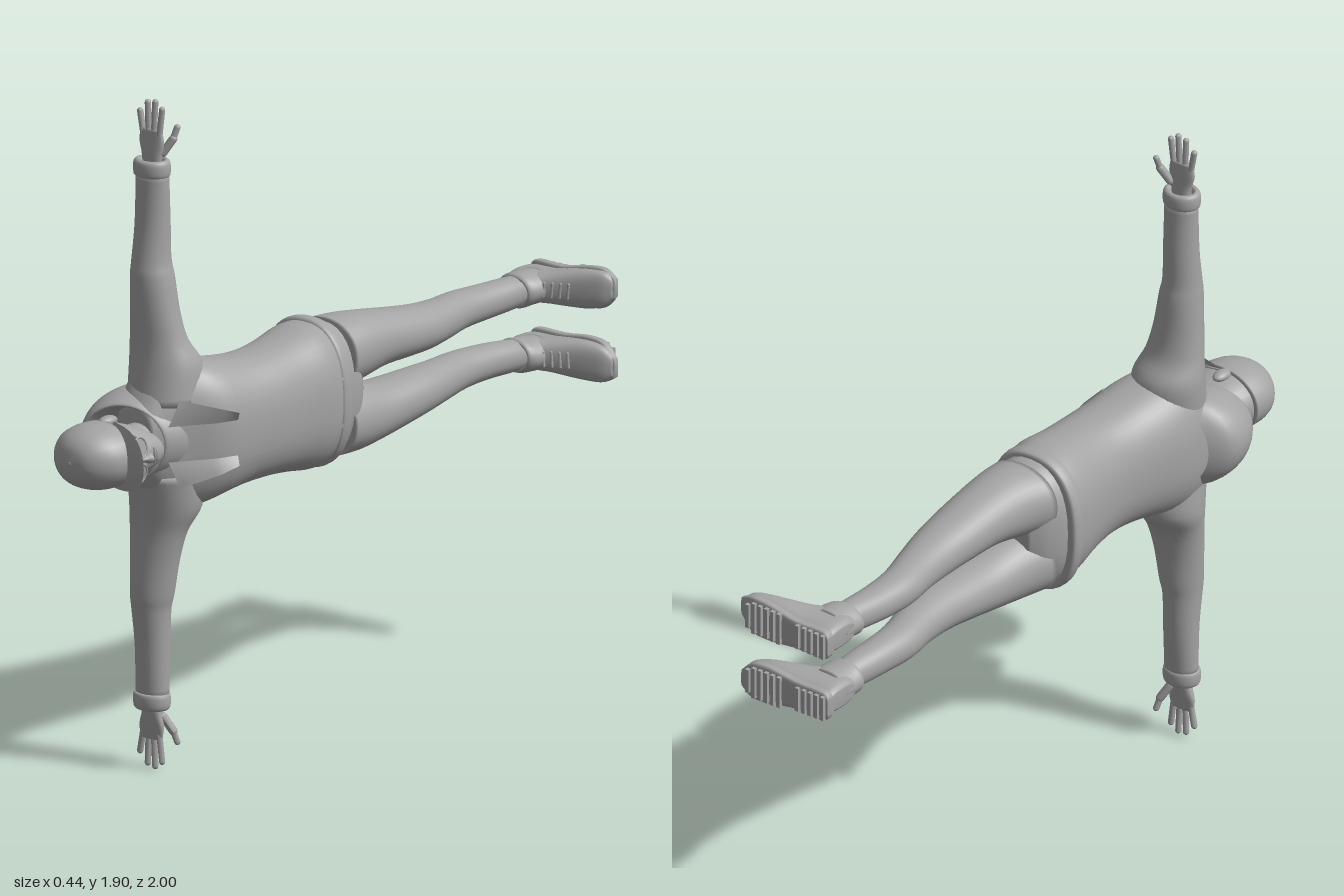
import * as THREE from 'three';

const cloth = new THREE.MeshStandardMaterial({ color: 0xa4a4a4, side: THREE.DoubleSide });
cloth.name = 'plain grey';

// Smooth skin over cross-sections [t, aMin, aMax, bMin, bMax, slope]; t runs along the axis,
// (a, b) are the next two axes in x-y-z order and slope tilts the ring along a.
function loft(axis, sections, { n = 2, sides = 32, caps = true, steps = 4 } = {}) {
  const rows = [];
  const at = (i, k) => sections[Math.min(Math.max(i, 0), sections.length - 1)][k] ?? 0;
  for (let i = 0; i < sections.length - 1; i++) {
    for (let s = 0; s < steps || (i === sections.length - 2 && s === steps); s++) {
      const u = s / steps;
      rows.push([0, 1, 2, 3, 4, 5].map((k) => {
        const [p, q, r, w] = [at(i - 1, k), at(i, k), at(i + 1, k), at(i + 2, k)];
        return q + 0.5 * u * (r - p + u * (2 * p - 5 * q + 4 * r - w + u * (3 * (q - r) + w - p)));
      }));
    }
  }
  const pos = [], index = [];
  const put = (t, a, b) => pos.push(...(axis === 'x' ? [t, a, b] : axis === 'y' ? [b, t, a] : [a, b, t]));
  const round = (v) => Math.sign(v) * Math.abs(v) ** (2 / n);
  for (const [t, a0, a1, b0, b1, slope] of rows) {
    for (let i = 0; i < sides; i++) {
      const th = (i / sides) * Math.PI * 2;
      const a = (a0 + a1) / 2 + ((a1 - a0) / 2) * round(Math.cos(th));
      put(t + slope * a, a, (b0 + b1) / 2 + ((b1 - b0) / 2) * round(Math.sin(th)));
    }
  }
  for (let j = 0; j < rows.length - 1; j++) {
    for (let i = 0; i < sides; i++) {
      const a = j * sides + i, b = j * sides + ((i + 1) % sides);
      index.push(a, b, b + sides, a, b + sides, a + sides);
    }
  }
  if (caps) {
    const c = rows.length * sides, last = c - sides;
    for (const r of [rows[0], rows.at(-1)]) put(r[0] + r[5] * (r[1] + r[2]) / 2, (r[1] + r[2]) / 2, (r[3] + r[4]) / 2);
    for (let i = 0; i < sides; i++) {
      const k = (i + 1) % sides;
      index.push(c, k, i, c + 1, last + i, last + k);
    }
  }
  const g = new THREE.BufferGeometry();
  g.setAttribute('position', new THREE.Float32BufferAttribute(pos, 3));
  g.setIndex(index);
  g.computeVertexNormals();
  return g;
}

function mirrored(geometry) {
  const g = geometry.clone().scale(-1, 1, 1);
  const ix = g.index.array;
  for (let i = 0; i < ix.length; i += 3) [ix[i], ix[i + 1]] = [ix[i + 1], ix[i]];
  g.computeVertexNormals();
  return g;
}

// Rounded bar between two points
function bar(p, q, r) {
  const a = new THREE.Vector3(...p), b = new THREE.Vector3(...q), d = b.clone().sub(a);
  const turn = new THREE.Quaternion().setFromUnitVectors(new THREE.Vector3(0, 1, 0), d.clone().normalize());
  const m = a.add(b).multiplyScalar(0.5);
  return new THREE.CapsuleGeometry(r, d.length(), 4, 10).applyQuaternion(turn).translate(m.x, m.y, m.z);
}

const ball = (x, y, z, rx, ry, rz) => new THREE.SphereGeometry(1, 20, 14).scale(rx, ry, rz).translate(x, y, z);

const torso = [
  [0.03, -0.145, 0.135, -0.2, 0.2], [0.1, -0.14, 0.152, -0.203, 0.203], [0.2, -0.12, 0.152, -0.187, 0.187],
  [0.3, -0.112, 0.155, -0.178, 0.178], [0.4, -0.125, 0.153, -0.182, 0.182], [0.5, -0.145, 0.148, -0.2, 0.2],
  [0.56, -0.15, 0.128, -0.21, 0.21], [0.62, -0.145, 0.09, -0.205, 0.205], [0.67, -0.13, 0.06, -0.17, 0.17],
  [0.72, -0.09, 0.035, -0.09, 0.09],
];

// Depth of the chest at a point, used to lay trim on the jacket
function chest(x, y) {
  const i = Math.max(0, Math.min(torso.length - 2, torso.findIndex((s) => s[0] > y) - 1));
  const u = (y - torso[i][0]) / (torso[i + 1][0] - torso[i][0]);
  const [, back, front, , w] = torso[i].map((v, k) => v + (torso[i + 1][k] - v) * u);
  const edge = Math.max(0, 1 - Math.abs(x / w) ** 2.4) ** (1 / 2.4);
  return (back + front) / 2 + ((front - back) / 2) * edge;
}

// Four-cornered sheet wrapped over the chest; corners: top inner, top outer, bottom inner, bottom outer
function patch(c, lift, flare = 0) {
  const g = new THREE.PlaneGeometry(1, 1, 6, 14), p = g.attributes.position;
  for (let i = 0; i < p.count; i++) {
    const u = p.getX(i) + 0.5, v = 0.5 - p.getY(i);
    const mix = (k) => (c[0][k] * (1 - u) + c[1][k] * u) * (1 - v) + (c[2][k] * (1 - u) + c[3][k] * u) * v;
    p.setXYZ(i, mix(0), mix(1), chest(mix(0), mix(1)) + lift + flare * u);
  }
  g.computeVertexNormals();
  return g;
}

export function createModel() {
  const model = new THREE.Group();
  const body = new THREE.Group();
  body.name = 'figure';
  const add = (name, g) => {
    const m = new THREE.Mesh(g, cloth);
    m.name = name;
    body.add(m);
  };
  const pair = (name, g) => { add(name + 'Left', g); add(name + 'Right', mirrored(g)); };

  // Jacket body, hem and trim
  add('jacket', loft('y', torso, { n: 2.4, sides: 48 }));
  add('jacketHem', loft('y', [[0.012, -0.14, 0.13, -0.195, 0.195], [0.018, -0.156, 0.142, -0.208, 0.208],
    [0.05, -0.156, 0.146, -0.21, 0.21], [0.058, -0.14, 0.135, -0.195, 0.195]], { n: 2.4, sides: 48 }));
  pair('zipEdge', patch([[0.058, 0.56], [0.068, 0.56], [0.062, 0.05], [0.072, 0.05]], 0.005));
  pair('lapel', patch([[0.05, 0.68], [0.125, 0.655], [0.05, 0.5], [0.075, 0.51]], 0.008, 0.022));
  pair('pocketFlap', patch([[0.095, 0.5], [0.15, 0.49], [0.09, 0.4], [0.15, 0.405]], 0.005));
  pair('drawstring', patch([[0.02, 0.62], [0.026, 0.62], [0.026, 0.46], [0.032, 0.46]], 0.006));

  // Hood resting behind the neck, rolled over at its rim
  add('hood', loft('y', [[0.57, -0.17, 0.085, -0.13, 0.13, -0.1], [0.605, -0.215, 0.09, -0.14, 0.14, -0.15],
    [0.655, -0.215, 0.085, -0.132, 0.132, -0.25], [0.712, -0.172, 0.07, -0.112, 0.112, -0.4],
    [0.718, -0.155, 0.06, -0.1, 0.1, -0.4], [0.68, -0.145, 0.05, -0.088, 0.088, -0.3],
    [0.63, -0.12, 0.04, -0.075, 0.075, -0.1]], { caps: false, sides: 40 }));

  // Sleeves and cuffs
  pair('sleeve', loft('x', [[0.1, 0.5, 0.7, -0.13, 0.085], [0.2, 0.495, 0.683, -0.135, 0.075],
    [0.27, 0.537, 0.677, -0.125, 0.048], [0.35, 0.555, 0.68, -0.117, 0.03], [0.45, 0.563, 0.684, -0.11, 0.014],
    [0.5, 0.57, 0.678, -0.106, 0.004], [0.6, 0.572, 0.666, -0.102, 0], [0.75, 0.582, 0.66, -0.1, 0]]));
  pair('cuff', loft('x', [[0.732, 0.59, 0.655, -0.09, -0.01], [0.737, 0.578, 0.668, -0.104, 0.004],
    [0.772, 0.578, 0.668, -0.104, 0.004], [0.78, 0.59, 0.655, -0.09, -0.01], [0.765, 0.6, 0.645, -0.08, -0.02]]));

  // Hands
  pair('palm', loft('x', [[0.75, 0.607, 0.643, -0.075, -0.02], [0.79, 0.609, 0.643, -0.079, -0.014],
    [0.83, 0.612, 0.638, -0.091, -0.007], [0.865, 0.616, 0.633, -0.087, -0.013]], { n: 2.5 }));
  const fingers = [[-0.08, -0.092, 0.908], [-0.06, -0.064, 0.937], [-0.041, -0.037, 0.942], [-0.021, -0.012, 0.925]];
  for (const [z0, z1, tip] of fingers) pair('finger', bar([0.85, 0.625, z0], [tip, 0.624, z1], 0.0088));
  pair('thumb', bar([0.8, 0.613, -0.018], [0.84, 0.597, 0.004], 0.012));
  pair('thumbTip', bar([0.84, 0.597, 0.004], [0.872, 0.588, 0.011], 0.009));

  // Neck and head
  add('neck', loft('y', [[0.58, -0.07, 0.05, -0.06, 0.06], [0.78, -0.075, 0.045, -0.056, 0.056]]));
  add('head', loft('y', [[0.72, 0.01, 0.075, -0.022, 0.022], [0.735, -0.04, 0.093, -0.045, 0.045],
    [0.77, -0.095, 0.097, -0.065, 0.065], [0.81, -0.12, 0.097, -0.077, 0.077], [0.86, -0.128, 0.097, -0.084, 0.084],
    [0.91, -0.12, 0.09, -0.08, 0.08]], { n: 2.2 }));
  add('nose', loft('y', [[0.797, 0.085, 0.105, -0.014, 0.014], [0.806, 0.08, 0.122, -0.016, 0.016],
    [0.825, 0.08, 0.112, -0.01, 0.01], [0.855, 0.08, 0.1, -0.007, 0.007]], { sides: 14 }));
  add('upperLip', ball(0, 0.777, 0.094, 0.024, 0.005, 0.009));
  add('lowerLip', ball(0, 0.767, 0.094, 0.02, 0.006, 0.008));
  pair('ear', ball(0.085, 0.828, -0.028, 0.014, 0.032, 0.02).rotateX(0));

  // Cap: dome, band, button and upturned peak
  add('capDome', loft('y', [[0.852, -0.136, 0.103, -0.09, 0.09, -0.04 + 0.1], [0.89, -0.137, 0.1, -0.091, 0.091],
    [0.93, -0.128, 0.088, -0.085, 0.085], [0.965, -0.103, 0.063, -0.069, 0.069], [0.988, -0.068, 0.03, -0.043, 0.043],
    [0.998, -0.025, -0.012, -0.006, 0.006]], { n: 2.1 }));
  add('capButton', ball(0, 0.996, -0.018, 0.008, 0.004, 0.008));
  for (const [name, drop] of [['peakTop', 0], ['peakUnderside', 0.005]]) {
    const g = new THREE.RingGeometry(0.25, 1, 32, 6, 0, Math.PI), p = g.attributes.position;
    for (let i = 0; i < p.count; i++) {
      const x = p.getX(i) * 0.092, z = 0.01 + Math.max(0, p.getY(i)) ** 0.8 * 0.16;
      p.setXYZ(i, x, 0.866 + 0.25 * z - 2.2 * x * x - drop, z);
    }
    g.computeVertexNormals();
    add(name, g);
  }

  // Glasses
  pair('lensRim', new THREE.TorusGeometry(0.026, 0.003, 8, 28).scale(1.12, 1, 1).rotateY(0.2).translate(0.037, 0.846, 0.106));
  pair('lens', new THREE.CircleGeometry(0.026, 28).scale(1.12, 1, 1).rotateY(0.2).translate(0.037, 0.846, 0.106));
  add('glassesBridge', bar([-0.01, 0.85, 0.112], [0.01, 0.85, 0.112], 0.003));
  pair('glassesArm', bar([0.066, 0.852, 0.1], [0.088, 0.845, -0.02], 0.003));

  // Trousers
  add('trouserSeat', loft('y', [[-0.085, -0.07, 0.09, -0.09, 0.09], [-0.05, -0.105, 0.112, -0.17, 0.17],
    [0, -0.13, 0.122, -0.193, 0.193], [0.04, -0.135, 0.125, -0.194, 0.194]], { n: 2.4 }));
  pair('trouserLeg', loft('y', [[-0.87, -0.055, 0.02, 0.055, 0.13], [-0.8, -0.066, 0.026, 0.044, 0.134],
    [-0.7, -0.08, 0.026, 0.037, 0.134], [-0.6, -0.085, 0.033, 0.033, 0.138], [-0.5, -0.07, 0.06, 0.028, 0.143],
    [-0.4, -0.066, 0.085, 0.024, 0.152], [-0.3, -0.072, 0.098, 0.024, 0.166], [-0.2, -0.08, 0.105, 0.022, 0.182],
    [-0.1, -0.096, 0.114, 0.004, 0.195], [-0.02, -0.122, 0.12, -0.005, 0.195]], { n: 2.15 }));

  // Shoes: upper, collar, sole, tread and laces
  pair('shoeUpper', loft('z', [[-0.078, 0.07, 0.122, -0.975, -0.86], [-0.06, 0.056, 0.136, -0.98, -0.842],
    [0.01, 0.052, 0.14, -0.98, -0.84], [0.05, 0.05, 0.144, -0.98, -0.865], [0.1, 0.047, 0.152, -0.98, -0.893],
    [0.15, 0.048, 0.157, -0.98, -0.916], [0.195, 0.06, 0.155, -0.98, -0.938], [0.218, 0.088, 0.135, -0.978, -0.957]], { n: 2.6 }));
  pair('shoeCollar', loft('y', [[-0.9, -0.078, 0.06, 0.048, 0.142], [-0.85, -0.08, 0.054, 0.046, 0.142],
    [-0.825, -0.08, 0.046, 0.043, 0.14], [-0.818, -0.07, 0.036, 0.052, 0.13], [-0.835, -0.06, 0.026, 0.06, 0.122]]));
  const sole = (y0, y1) => loft('z', [[-0.084, 0.07, 0.122, y0, y1], [-0.065, 0.053, 0.14, y0, y1],
    [0.03, 0.052, 0.14, y0, y1], [0.12, 0.042, 0.157, y0, y1], [0.18, 0.05, 0.16, y0, y1],
    [0.222, 0.088, 0.14, y0 + 0.01, y1]], { n: 5, sides: 40 });
  pair('sole', sole(-0.99, -0.962));
  for (let i = 0; i < 13; i++) {
    const z = -0.07 + i * 0.0215;
    if (i === 5 || i === 6) continue;
    pair('tread', new THREE.BoxGeometry(i < 5 || i > 11 ? 0.072 : 0.094, 0.014, 0.012).translate(0.097 + i * 0.0005, -0.993, z));
  }
  for (let i = 0; i < 4; i++) {
    const z = 0.05 + i * 0.02, y = -0.862 - i * 0.011;
    pair('lace', bar([0.078, y - 0.003, z], [0.118, y - 0.003, z + 0.004], 0.004));
  }

  // Lay the figure along z, facing +x, with its arms reaching up and down
  const axes = new THREE.Matrix4().makeBasis(new THREE.Vector3(0, 1, 0), new THREE.Vector3(0, 0, 1), new THREE.Vector3(1, 0, 0));
  body.quaternion.setFromRotationMatrix(axes);
  body.position.set(0, 0.95, 0);
  model.add(body);
  return model;
}
